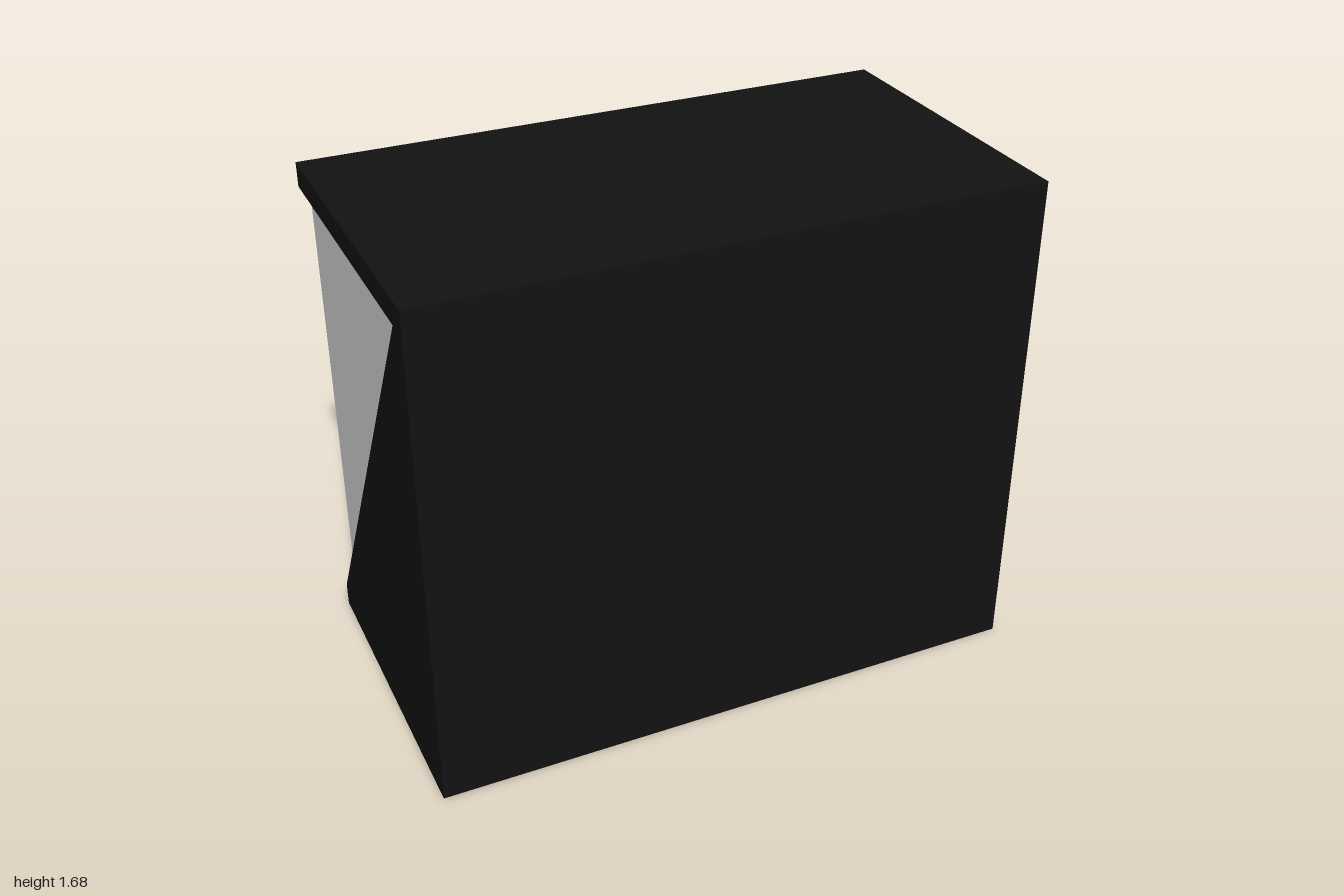
import * as THREE from 'three';

const W = 2, H = 1.68, D = 1.08; // overall size
const T = 0.08;                  // wall thickness
const R = 0.028;                 // recess of the inner body

export function createModel() {
  const model = new THREE.Group();
  const black = new THREE.MeshStandardMaterial({ color: 0x121212 });
  const grey = new THREE.MeshStandardMaterial({ color: 0xcccccc });

  const add = (name, geometry, material) => {
    const mesh = new THREE.Mesh(geometry, material);
    mesh.name = name;
    model.add(mesh);
    return mesh;
  };
  // Box given by its lower and upper corner
  const slab = (name, a, b, material) =>
    add(name, new THREE.BoxGeometry(b[0] - a[0], b[1] - a[1], b[2] - a[2]), material)
      .position.set((a[0] + b[0]) / 2, (a[1] + b[1]) / 2, (a[2] + b[2]) / 2);

  const x = W / 2, z = D / 2;

  // Dark shell: open at the back and on the -x side
  slab('bottomPanel', [-x, 0, -z], [x, T, z], black);
  slab('topPanel', [-x, H - T, -z], [x, H, z], black);
  slab('frontPanel', [-x, T, z - T], [x, H - T, z], black);
  slab('leftPanel', [x - T, T, -z], [x, H - T, z - T], black);

  // Pale inner body, set back from the open sides
  slab('innerBody', [-x + R, T, -z + R], [x - T, H - T, z - T], grey);

  // Triangular gusset on the -x side, flush with the shell
  const gusset = new THREE.Shape([
    new THREE.Vector2(z, T),
    new THREE.Vector2(-z + T, T),
    new THREE.Vector2(-z + T, H - T),
  ]);
  const gussetGeometry = new THREE.ExtrudeGeometry(gusset, { depth: R, bevelEnabled: false });
  gussetGeometry.rotateY(Math.PI / 2); // shape x becomes -z, depth becomes +x
  add('sideGusset', gussetGeometry, black).position.x = -x;

  return model;
}
